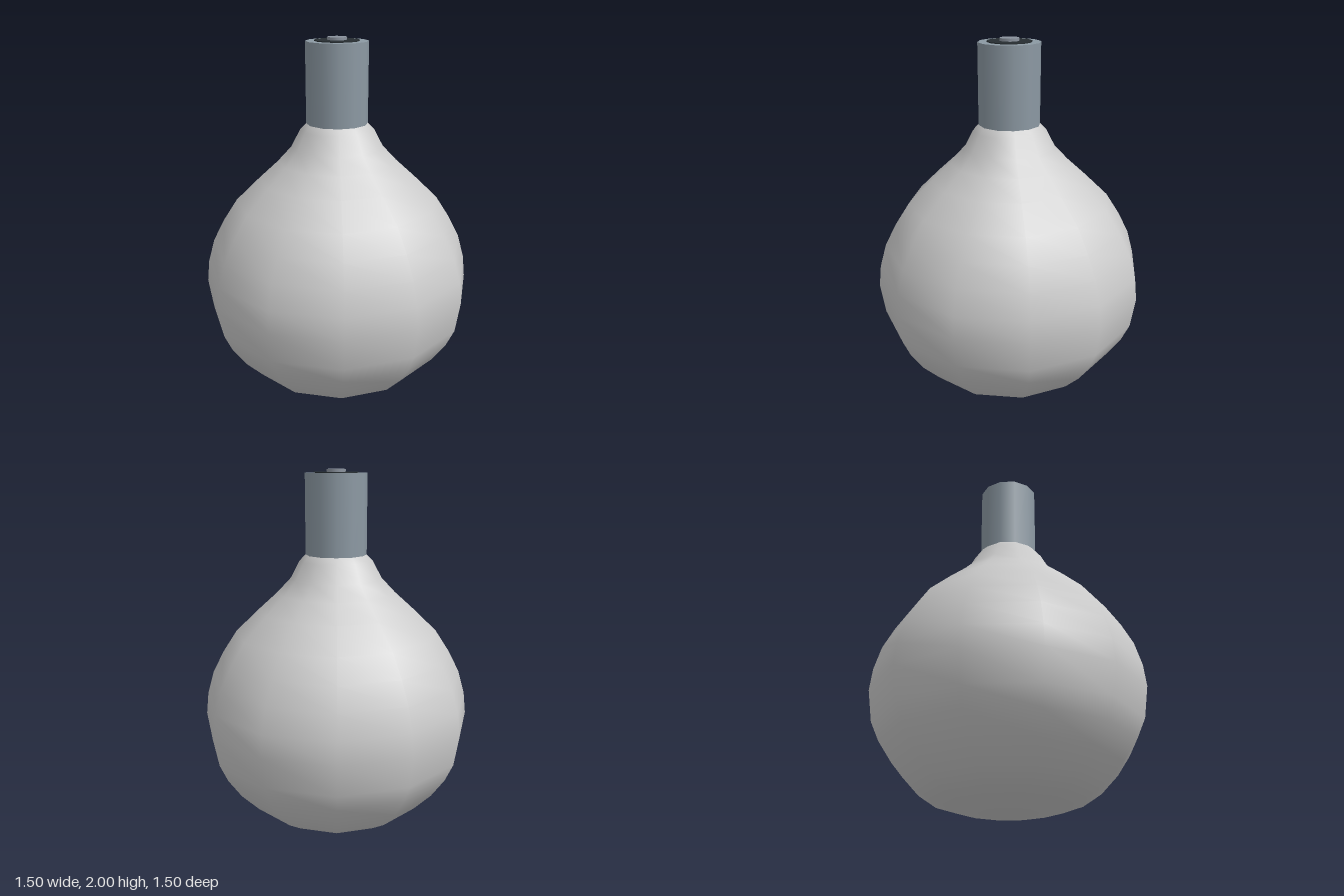
import * as THREE from 'three';

const SIDES = 12;

export function createModel() {
  const model = new THREE.Group();

  const add = (name, geometry, color, y = 0) => {
    const mesh = new THREE.Mesh(geometry, new THREE.MeshStandardMaterial({ color }));
    mesh.name = name;
    mesh.position.y = y;
    model.add(mesh);
  };

  // Upright cylinder given by its radius, bottom and top
  const addCylinder = (name, radius, bottom, top, color) =>
    add(name, new THREE.CylinderGeometry(radius, radius, top - bottom, SIDES), color, (bottom + top) / 2);

  // Glass bulb: radius and height from the bottom pole up to the neck
  const profile = [
    [0, 0], [0.26, 0.035], [0.4, 0.075], [0.505, 0.145], [0.605, 0.25],
    [0.68, 0.36], [0.725, 0.46], [0.75, 0.63], [0.737, 0.75], [0.7, 0.88],
    [0.638, 1.0], [0.56, 1.12], [0.43, 1.245], [0.325, 1.34], [0.25, 1.42],
    [0.2, 1.515], [0.165, 1.55],
  ].map(([r, y]) => new THREE.Vector2(r, y));
  add('bulb', new THREE.LatheGeometry(profile, SIDES), 0xcccccc);

  // Metal cap with a dark insulator and a central contact
  addCylinder('cap', 0.167, 1.545, 1.98, 0x8c99a3);
  addCylinder('insulator', 0.12, 1.97, 1.985, 0x262d31);
  addCylinder('contact', 0.052, 1.975, 2.0, 0x8b939e);

  return model;
}
